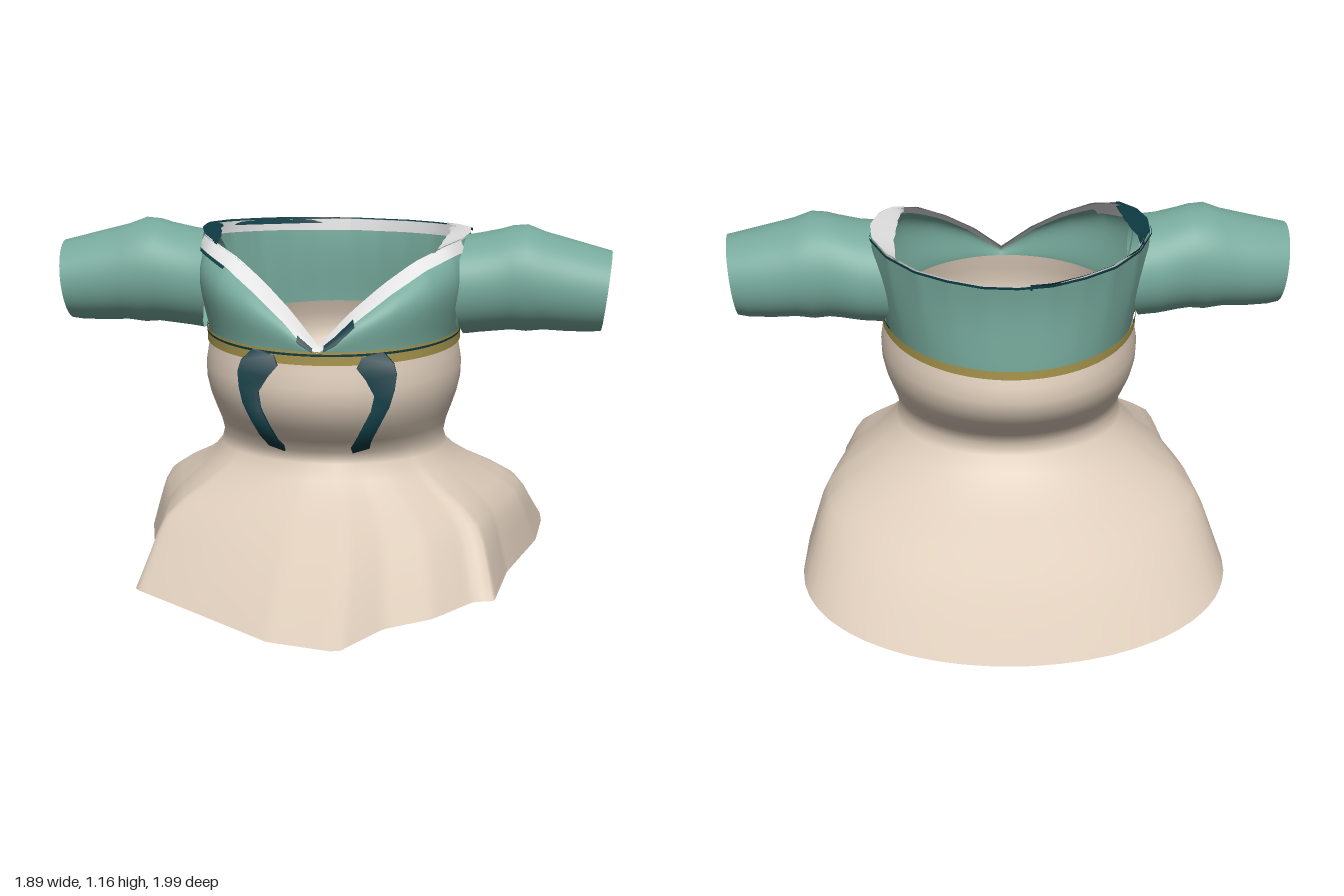
import * as THREE from 'three';

const mat = (name, color) => {
  const m = new THREE.MeshStandardMaterial({ color, side: THREE.DoubleSide });
  m.name = name;
  return m;
};
const V = (x, y, z) => new THREE.Vector3(x, y, z);
const lerp = THREE.MathUtils.lerp, rad = THREE.MathUtils.degToRad;
const SEG = 180;

// Surface through rows of points; cells rejected by keep() are left open
function loft(rows, closed = true, keep = () => true) {
  const n = rows[0].length, pos = [], idx = [];
  rows.forEach(r => r.forEach(p => pos.push(p.x, p.y, p.z)));
  for (let j = 0; j < rows.length - 1; j++) {
    for (let i = 0; i < (closed ? n : n - 1); i++) {
      const k = (i + 1) % n;
      const centre = rows[j][i].clone().add(rows[j + 1][k]).multiplyScalar(0.5);
      if (!keep(centre)) continue;
      const a = j * n + i, b = j * n + k, c = a + n, d = b + n;
      idx.push(a, b, d, a, d, c);
    }
  }
  const g = new THREE.BufferGeometry();
  g.setAttribute('position', new THREE.Float32BufferAttribute(pos, 3));
  g.setIndex(idx);
  g.computeVertexNormals();
  return g;
}

// Linear lookup in a table of [key, ...values]
function lookup(table, key) {
  let i = 1;
  while (i < table.length - 1 && table[i][0] < key) i++;
  const a = table[i - 1], b = table[i];
  const t = THREE.MathUtils.clamp((key - a[0]) / (b[0] - a[0]), 0, 1);
  return a.slice(1).map((v, k) => lerp(v, b[k + 1], t));
}

// Angle 0 points to the front, positive towards +x
const ring = fn => Array.from({ length: SEG }, (_, i) => fn(-Math.PI + (i / SEG) * Math.PI * 2));
const oval = (a, y, rx, front, back) =>
  V(Math.sin(a) * rx, y, Math.cos(a) * (Math.cos(a) > 0 ? front : back));

// Hem outline, x and z: pointed and irregular in front, a smooth arc behind
const hemPoints = [
  [-0.69, -0.18], [-0.62, 0.13], [-0.605, 0.52], [-0.35, 0.73], [-0.1, 0.94], [0.13, 1],
  [0.25, 0.79], [0.4, 0.68], [0.52, 0.51], [0.59, 0.49], [0.62, 0.2], [0.71, -0.16]
];
for (let i = 0; i <= 24; i++) {
  const a = (i / 24 - 0.5) * Math.PI;
  hemPoints.push([0.005 + 0.72 * Math.sin(a), -0.39 - 0.61 * Math.cos(a) ** 0.95]);
}
const hem = hemPoints.map(([x, z]) => [Math.atan2(x, z), x, z]).sort((a, b) => a[0] - b[0]);
const last = hem[hem.length - 1], first = hem[0];
hem.unshift([last[0] - 2 * Math.PI, last[1], last[2]]);
hem.push([first[0] + 2 * Math.PI, first[1], first[2]]);

// Neckline: degrees from the front, x, y, z
const neckTable = [
  [0, 0, 0.83, 0.435], [16, 0.1, 0.93, 0.37], [34, 0.2, 1.01, 0.3], [52, 0.3, 1.075, 0.225],
  [70, 0.39, 1.11, 0.14], [82, 0.44, 1.12, 0.05], [94, 0.465, 1.125, -0.05], [107, 0.46, 1.125, -0.16],
  [122, 0.41, 1.115, -0.28], [138, 0.32, 1.105, -0.385], [152, 0.22, 1.1, -0.45], [166, 0.11, 1.095, -0.495],
  [180, 0, 1.095, -0.51]
];
const neck = a => {
  const [x, y, z] = lookup(neckTable, Math.abs(a) * 180 / Math.PI);
  return V(a < 0 ? -x : x, y, z);
};
// Point on the bodice, v from 0 at the waist seam to 1 at the neckline; fuller beside the V
const bodiceAt = (a, v, out = 0) => {
  const p = oval(a, 0.78, 0.425, 0.455, 0.505).lerp(neck(a), v);
  const c = Math.cos(a), side = c > 0 ? Math.abs(Math.sin(2 * a)) : 0;
  const swell = Math.sin(Math.PI * Math.max(v, 0) ** 1.4);
  const r = out + swell * (0.02 + (c > 0 ? 0.04 * side : 0.03 * c));
  return p.add(V(Math.sin(a) * r, 0.025 * side * swell, c * r));
};

export function createModel() {
  const cream = mat('cream cloth', 0xdccbb9), teal = mat('teal cloth', 0x76a99b),
    dark = mat('dark teal trim', 0x0f3b44), gold = mat('gold trim', 0xa8954c),
    white = mat('white collar', 0xe2e2e2);
  const model = new THREE.Group();
  const add = (name, geometry, material) => {
    const m = new THREE.Mesh(geometry, material);
    m.name = name;
    model.add(m);
  };

  // Skirt: rounded upper part, narrow waist, wide flared hem
  const upper = [
    [0.79, 0.42, 0.45, 0.5], [0.74, 0.432, 0.458, 0.518], [0.69, 0.44, 0.468, 0.527], [0.64, 0.438, 0.467, 0.515],
    [0.59, 0.427, 0.45, 0.478], [0.54, 0.41, 0.42, 0.43], [0.49, 0.392, 0.375, 0.37], [0.44, 0.382, 0.325, 0.335]
  ];
  const flare = [
    [0.4, 0.04, 0.02], [0.35, 0.18, 0.08], [0.3, 0.37, 0.16], [0.25, 0.6, 0.28],
    [0.2, 0.77, 0.41], [0.15, 0.85, 0.53], [0.1, 0.9, 0.67], [0.05, 0.95, 0.83], [0, 1, 1]
  ];
  add('skirt', loft([
    ...upper.map(([y, x, f, b]) => ring(a => oval(a, y, x, f, b))),
    ...flare.map(([y, tx, tz]) => ring(a => {
      const w = oval(a, y, 0.382, 0.31, 0.335), [hx, hz] = lookup(hem, a);
      return V(lerp(w.x, hx, tx), y, lerp(w.z, hz, tz));
    }))
  ]), cream);

  // Bodice with open armholes
  const bodiceRows = Array.from({ length: 31 }, (_, j) => ring(a => bodiceAt(a, j / 30)));
  add('bodice', loft(bodiceRows, true, p =>
    Math.abs(p.x) < 0.3 || Math.hypot((p.y - 0.957) / 0.155, (p.z + 0.03) / 0.175) > 1), teal);

  // Sleeves: x, centre y, height radius, centre z, depth radius
  const sleeveRings = [
    [0.43, 0.955, 0.168, -0.03, 0.19], [0.5, 0.962, 0.17, -0.035, 0.18], [0.57, 0.974, 0.174, -0.03, 0.17],
    [0.61, 0.982, 0.178, -0.03, 0.166], [0.66, 0.982, 0.182, -0.03, 0.172], [0.72, 0.974, 0.167, -0.028, 0.162],
    [0.8, 0.962, 0.158, -0.025, 0.157], [0.88, 0.952, 0.147, -0.02, 0.148], [0.93, 0.946, 0.136, -0.015, 0.141]
  ];
  for (const s of [1, -1]) {
    const rows = sleeveRings.map(([x, cy, ry, cz, rz], j) => ring(a => {
      const y = cy + Math.cos(a) * ry, z = cz + Math.sin(a) * rz;
      const root = 0.45 * Math.sqrt(1 - (z / 0.48) ** 2);
      const end = j === sleeveRings.length - 1 ? Math.cos(a) * 0.016 : 0;
      return V(s * (j === 0 ? root : x + end), y, z);
    }));
    add(s > 0 ? 'leftSleeve' : 'rightSleeve', loft(rows), teal);
  }

  // Collar strips between two angles in degrees, down the inside or outside of the neckline
  const strip = (from, to, d0, d1, out) => {
    const angles = Array.from({ length: 61 }, (_, i) => rad(lerp(from, to, i / 60)));
    const depth = a => Math.max(neck(a).y - 0.78, 0.1);
    const rows = Array.from({ length: 4 }, (_, k) => lerp(d0, d1, k / 3));
    return loft(rows.map(d => angles.map(a => bodiceAt(a, 1 - d / depth(a), out))), false);
  };
  add('collarInside', strip(-180, 180, 0, 0.04, -0.008), white);
  add('collarInsideShoulder', strip(-112, -50, 0.04, 0.075, -0.008), white);
  add('collarFront', strip(-80, 80, -0.004, 0.036, 0.008), white);
  add('collarEdgeLeft', strip(3, 16, 0.02, 0.048, 0.012), dark);
  add('collarEdgeRight', strip(-9, -2, 0.025, 0.046, 0.012), dark);
  add('collarEdgeRightShoulder', strip(-78, -52, 0.036, 0.046, 0.01), dark);
  for (const s of [1, -1]) add('collarBackEdge', strip(s * 100, s * 180, -0.003, 0.006, 0.006), dark);

  // Facings folded inwards from the neckline
  const facing = (from, to, width) => {
    const steps = Array.from({ length: 25 }, (_, i) => i / 24);
    return loft([0, 1].map(k => steps.map(t => {
      const a = rad(lerp(from, to, t)), w = k * width * Math.sin(Math.PI * t);
      return neck(a).add(V(-Math.sin(a) * w, 0.006 - k * 0.02, -Math.cos(a) * w));
    })), false);
  };
  add('leftShoulderFacing', facing(62, 130, 0.085), white);
  add('rightShoulderFacing', facing(-118, -68, 0.065), dark);
  add('rightBackFacing', facing(-175, -115, 0.028), dark);

  // Waist trim, with a cord across the front
  const band = (y0, y1, out, reach = 180) => {
    const angles = Array.from({ length: 121 }, (_, i) => rad(lerp(-reach, reach, i / 120)));
    return loft([y0, y1].map(y => angles.map(a => oval(a, y, 0.425 + out, 0.457 + out, 0.507 + out))), false);
  };
  add('waistBand', band(0.772, 0.802, 0.01), gold);
  add('waistCord', band(0.802, 0.81, 0.011, 110), dark);
  add('waistPiping', band(0.81, 0.818, 0.012, 85), gold);

  // Hanging ribbons: x, y, z, half width
  const ribbon = [
    [0.18, 0.808, 0.445, 0.035], [0.19, 0.775, 0.462, 0.06], [0.21, 0.74, 0.47, 0.05], [0.222, 0.69, 0.482, 0.032],
    [0.21, 0.64, 0.496, 0.03], [0.18, 0.58, 0.5, 0.03], [0.155, 0.53, 0.485, 0.03], [0.143, 0.505, 0.455, 0.032],
    [0.14, 0.475, 0.41, 0.027]
  ];
  for (const s of [1, -1]) {
    const rows = ribbon.map(([x, y, z, w]) => [
      V(s * (x - w), y - 0.008, z + 0.008), V(s * (x + w), y + 0.008, z),
      V(s * (x + w), y + 0.008, z - 0.018), V(s * (x - w), y - 0.008, z - 0.01)
    ]);
    add(s > 0 ? 'leftRibbon' : 'rightRibbon', loft(rows), dark);
  }
  return model;
}
